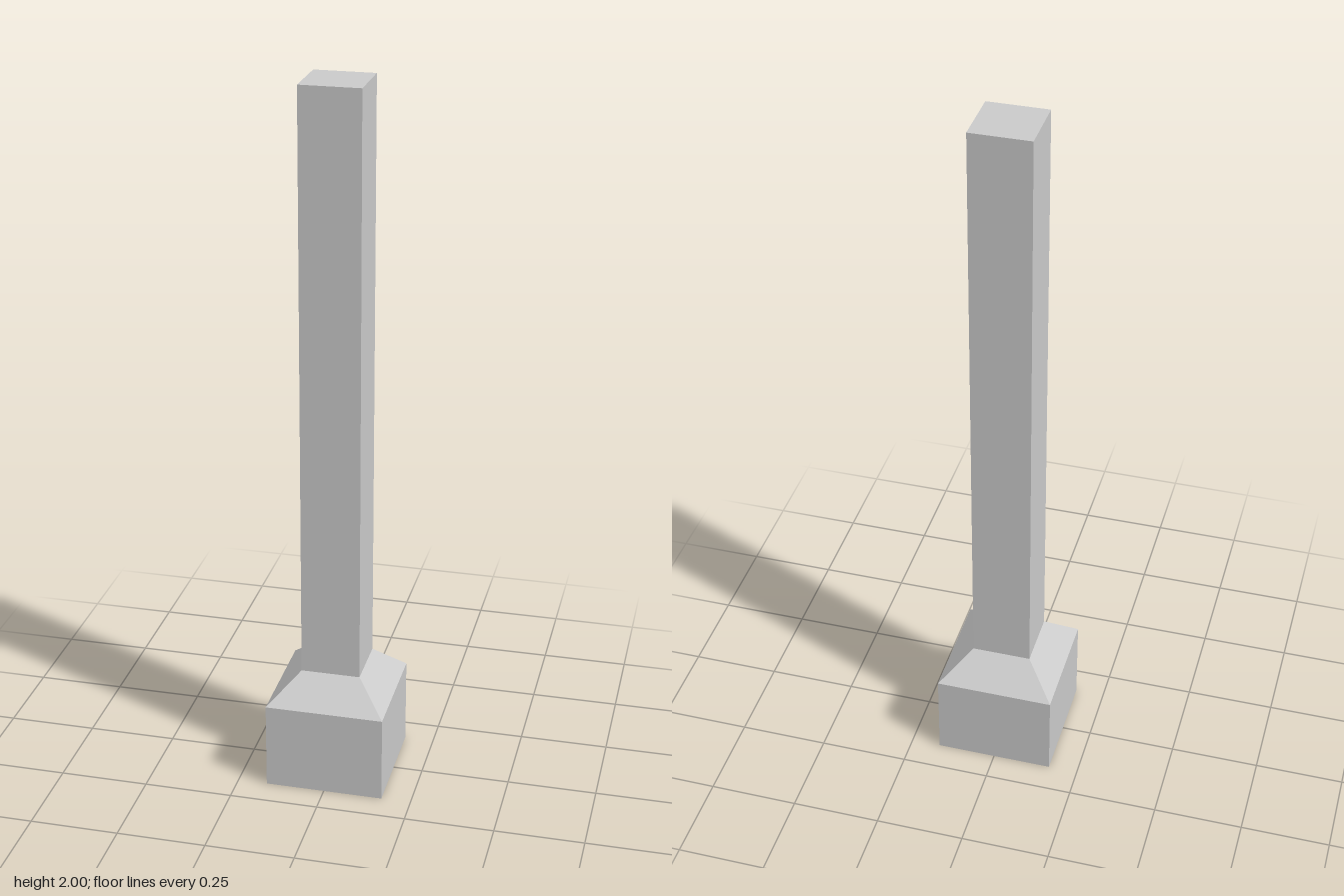
import * as THREE from 'three';

const material = new THREE.MeshStandardMaterial({ color: 0xcccccc, flatShading: true });

// Square section swept around the y axis; profile is [half width, height] from bottom to top
function squarePart(name, profile) {
  const points = profile.map(([half, y]) => new THREE.Vector2(half * Math.SQRT2, y));
  const mesh = new THREE.Mesh(new THREE.LatheGeometry(points, 4, Math.PI / 4), material);
  mesh.name = name;
  return mesh;
}

export function createModel() {
  const baseHalf = 1 / 6, shaftHalf = 1 / 12;
  const baseTop = 0.25, collarTop = 1 / 3, height = 2;

  const group = new THREE.Group();
  group.name = 'post';
  group.add(
    // Block with a closed underside
    squarePart('base', [[0, 0], [baseHalf, 0], [baseHalf, baseTop]]),
    // Sloped transition
    squarePart('collar', [[baseHalf, baseTop], [shaftHalf, collarTop]]),
    // Tall shaft with a flat top
    squarePart('shaft', [[shaftHalf, collarTop], [shaftHalf, height], [0, height]]),
  );
  return group;
}
